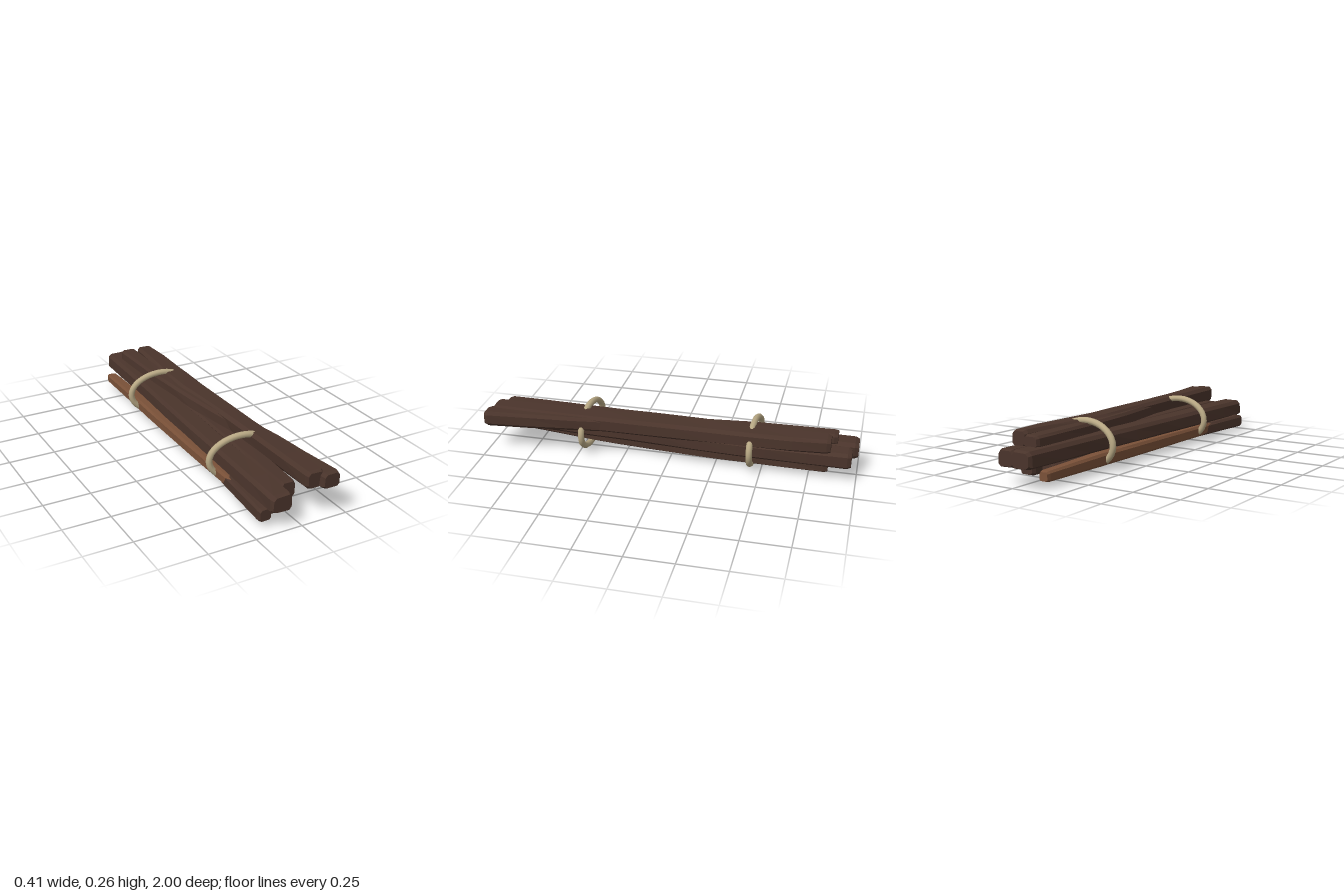
import * as THREE from 'three';

const darkWood = new THREE.MeshStandardMaterial({ color: 0x4a342b, flatShading: true });
darkWood.name = 'darkWood';
const lightWood = new THREE.MeshStandardMaterial({ color: 0x7a5138, flatShading: true });
lightWood.name = 'lightWood';
const rope = new THREE.MeshStandardMaterial({ color: 0xb9a985 });
rope.name = 'rope';

// small seeded generator for the hewn irregularity
function seeded(seed) {
  let s = seed * 7919 + 17;
  return () => ((s = (s * 16807) % 2147483647) / 2147483647) - 0.5;
}

// Hewn stick lofted through stations [z, x, y, width, height], listed front to back
function stick(name, stations, material, seed) {
  const rnd = seeded(seed);
  const corners = [[1, 0.6], [0.7, 1], [-0.7, 1], [-1, 0.6], [-1, -0.65], [-0.7, -1], [0.7, -1], [1, -0.65]];
  const n = corners.length;
  const wobble = corners.map(() => rnd() * 0.16);
  const steps = 9;
  const zFront = stations[0][0];
  const zBack = stations[stations.length - 1][0];
  const at = (z) => {
    let i = 0;
    while (i < stations.length - 2 && z < stations[i + 1][0]) i++;
    const a = stations[i], b = stations[i + 1];
    const t = (z - a[0]) / (b[0] - a[0]);
    return a.map((v, k) => v + (b[k] - v) * t);
  };
  // rings: bevelled tip, body, bevelled tip
  const rings = [[zFront, 0.84]];
  for (let i = 0; i <= steps; i++) {
    const end = i === 0 || i === steps;
    const z = zFront - 0.02 + (zBack - zFront + 0.04) * (i / steps);
    rings.push([z + (end ? 0 : rnd() * 0.06), 1]);
  }
  rings.push([zBack, 0.84]);
  const pos = [];
  for (const [z, s] of rings) {
    const [, x, y, w, h] = at(z);
    corners.forEach(([cx, cy], k) => {
      const f = s * (0.98 + wobble[k] * 0.5 + rnd() * 0.07);
      pos.push(x + cx * w * 0.5 * f, y + cy * h * 0.5 * f, z);
    });
  }
  const index = [];
  for (let r = 0; r < rings.length - 1; r++) {
    for (let k = 0; k < n; k++) {
      const a = r * n + k, b = r * n + (k + 1) % n;
      index.push(a, a + n, b, b, a + n, b + n);
    }
  }
  // end caps
  const last = (rings.length - 1) * n;
  for (let k = 1; k < n - 1; k++) {
    index.push(0, k, k + 1, last, last + k + 1, last + k);
  }
  const geo = new THREE.BufferGeometry();
  geo.setAttribute('position', new THREE.Float32BufferAttribute(pos, 3));
  geo.setIndex(index);
  geo.computeVertexNormals();
  const mesh = new THREE.Mesh(geo, material);
  mesh.name = name;
  return mesh;
}

// Oval rope loop around the bundle, slightly skewed along z
function ropeLoop(name, z0) {
  const pts = [];
  for (let i = 0; i < 20; i++) {
    const a = (i / 20) * Math.PI * 2;
    pts.push(new THREE.Vector3(
      -0.02 + 0.172 * Math.cos(a),
      0.131 + 0.113 * Math.sin(a),
      z0 + 0.009 * Math.cos(a) - 0.004 * Math.cos(2 * a)
    ));
  }
  const curve = new THREE.CatmullRomCurve3(pts, true);
  const mesh = new THREE.Mesh(new THREE.TubeGeometry(curve, 40, 0.017, 10, true), rope);
  mesh.name = name;
  return mesh;
}

export function createModel() {
  const g = new THREE.Group();
  g.name = 'stickBundle';

  // top layer: one straight stick and one crossing beneath it
  g.add(stick('topStick', [
    [0.97, 0.09, 0.207, 0.105, 0.095], [0.6, 0.09, 0.205, 0.115, 0.09], [0.1, 0.08, 0.2, 0.11, 0.088],
    [-0.3, 0.065, 0.202, 0.145, 0.085], [-0.6, 0.08, 0.203, 0.12, 0.085], [-0.86, 0.077, 0.207, 0.09, 0.085],
  ], darkWood, 3));
  g.add(stick('topCrossingStick', [
    [1.0, 0.16, 0.2, 0.1, 0.085], [0.5, 0.11, 0.198, 0.1, 0.08],
    [0, 0.04, 0.197, 0.1, 0.075], [-0.45, -0.005, 0.2, 0.09, 0.07], [-0.89, -0.018, 0.205, 0.09, 0.06],
  ], darkWood, 5));

  // middle layer
  g.add(stick('middleRightStick', [
    [0.98, -0.098, 0.135, 0.12, 0.095], [0.5, -0.09, 0.137, 0.11, 0.09],
    [0, -0.075, 0.137, 0.12, 0.09], [-0.5, -0.06, 0.137, 0.11, 0.09], [-1.0, -0.047, 0.138, 0.118, 0.09],
  ], darkWood, 7));
  g.add(stick('middleLeftStick', [
    [0.88, -0.003, 0.133, 0.085, 0.095], [0.4, 0.015, 0.133, 0.11, 0.09],
    [0, 0.035, 0.13, 0.12, 0.085], [-0.5, 0.06, 0.128, 0.11, 0.085], [-0.97, 0.065, 0.13, 0.1, 0.09],
  ], darkWood, 11));

  // bottom layer, fanning out toward the front
  g.add(stick('bottomRightStick', [
    [0.93, -0.158, 0.067, 0.07, 0.07], [0.5, -0.115, 0.062, 0.085, 0.065],
    [0, -0.055, 0.06, 0.09, 0.06], [-0.78, -0.025, 0.058, 0.08, 0.06],
  ], darkWood, 13));
  g.add(stick('bottomLeftStick', [
    [0.88, -0.1, 0.057, 0.065, 0.068], [0.4, -0.03, 0.058, 0.09, 0.065],
    [-0.2, 0.025, 0.06, 0.09, 0.06], [-0.85, 0.04, 0.06, 0.08, 0.06],
  ], darkWood, 17));
  g.add(stick('paleStick', [
    [0.84, -0.125, 0.062, 0.07, 0.06], [0.4, -0.134, 0.065, 0.06, 0.06],
    [0, -0.13, 0.066, 0.07, 0.065], [-0.5, -0.122, 0.064, 0.07, 0.065], [-0.92, -0.118, 0.057, 0.055, 0.052],
  ], lightWood, 19));

  // rope loops
  g.add(ropeLoop('frontRope', 0.463));
  g.add(ropeLoop('backRope', -0.45));
  return g;
}
